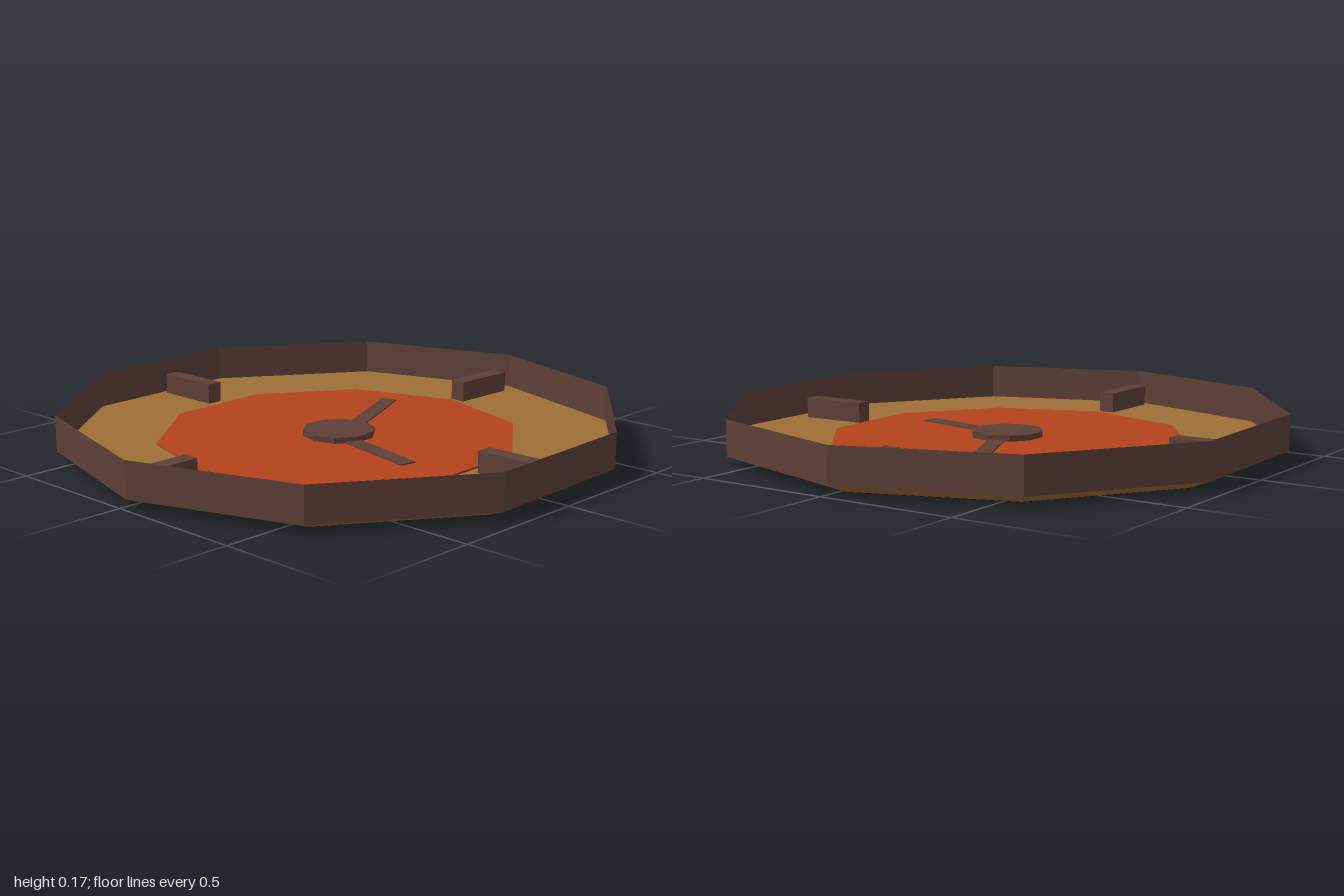
import * as THREE from 'three';

const SIDES = 10;
const TURN = 0.03; // slight twist of the ten-sided outline

const makeMaterial = (color, side = THREE.FrontSide) => {
  const material = new THREE.MeshStandardMaterial({ color, flatShading: true });
  material.side = side;
  return material;
};

export function createModel() {
  const clock = new THREE.Group();
  clock.name = 'wallClock';

  const brown = makeMaterial(0x5d4037);
  const rimBrown = makeMaterial(0x5d4037, THREE.DoubleSide);
  const tan = makeMaterial(0x9d6f35);
  const orange = makeMaterial(0xb5431c);
  const black = makeMaterial(0x0c0c0c);

  const add = (name, geometry, material, x, y, z) => {
    const mesh = new THREE.Mesh(geometry, material);
    mesh.name = name;
    mesh.position.set(x, y, z);
    clock.add(mesh);
    return mesh;
  };

  // Ten-sided slab lying flat between heights y0 and y1
  const addDisc = (name, material, rTop, rBottom, y0, y1, x = 0, z = 0, open = false) =>
    add(name, new THREE.CylinderGeometry(rTop, rBottom, y1 - y0, SIDES, 1, open, TURN),
      material, x, (y0 + y1) / 2, z);

  // Body: back plate, tapered base, thin open rim, coloured dial and hub
  addDisc('backPlate', black, 0.91, 0.9, 0, 0.003);
  addDisc('base', tan, 1, 0.91, 0.003, 0.037);
  addDisc('rim', rimBrown, 1, 1, 0.037, 0.165, 0, 0, true);
  addDisc('dial', orange, 0.65, 0.65, 0.037, 0.045, -0.01, 0);
  addDisc('hub', brown, 0.13, 0.13, 0.045, 0.066, 0, 0.01);

  // Hour marks: [name, x, z, rotation about y]
  const marks = [
    ['frontMark', 0.01, 0.835, 0],
    ['backMark', -0.025, -0.805, -0.02],
    ['leftMark', 0.765, -0.02, Math.PI / 2 + 0.035],
    ['rightMark', -0.805, -0.005, Math.PI / 2],
  ];
  for (const [name, x, z, angle] of marks) {
    add(name, new THREE.BoxGeometry(0.06, 0.075, 0.25), brown, x, 0.0745, z).rotation.y = angle;
  }

  // Flat hands running from beneath the hub: [name, x0, z0, x1, z1]
  const hands = [
    ['minuteHand', 0.01, -0.01, -0.2, -0.475],
    ['hourHand', 0, 0.03, 0.43, 0.12],
  ];
  for (const [name, x0, z0, x1, z1] of hands) {
    const length = Math.hypot(x1 - x0, z1 - z0);
    const hand = add(name, new THREE.BoxGeometry(0.06, 0.006, length), brown,
      (x0 + x1) / 2, 0.047, (z0 + z1) / 2);
    hand.rotation.y = Math.atan2(x1 - x0, z1 - z0);
  }

  return clock;
}
